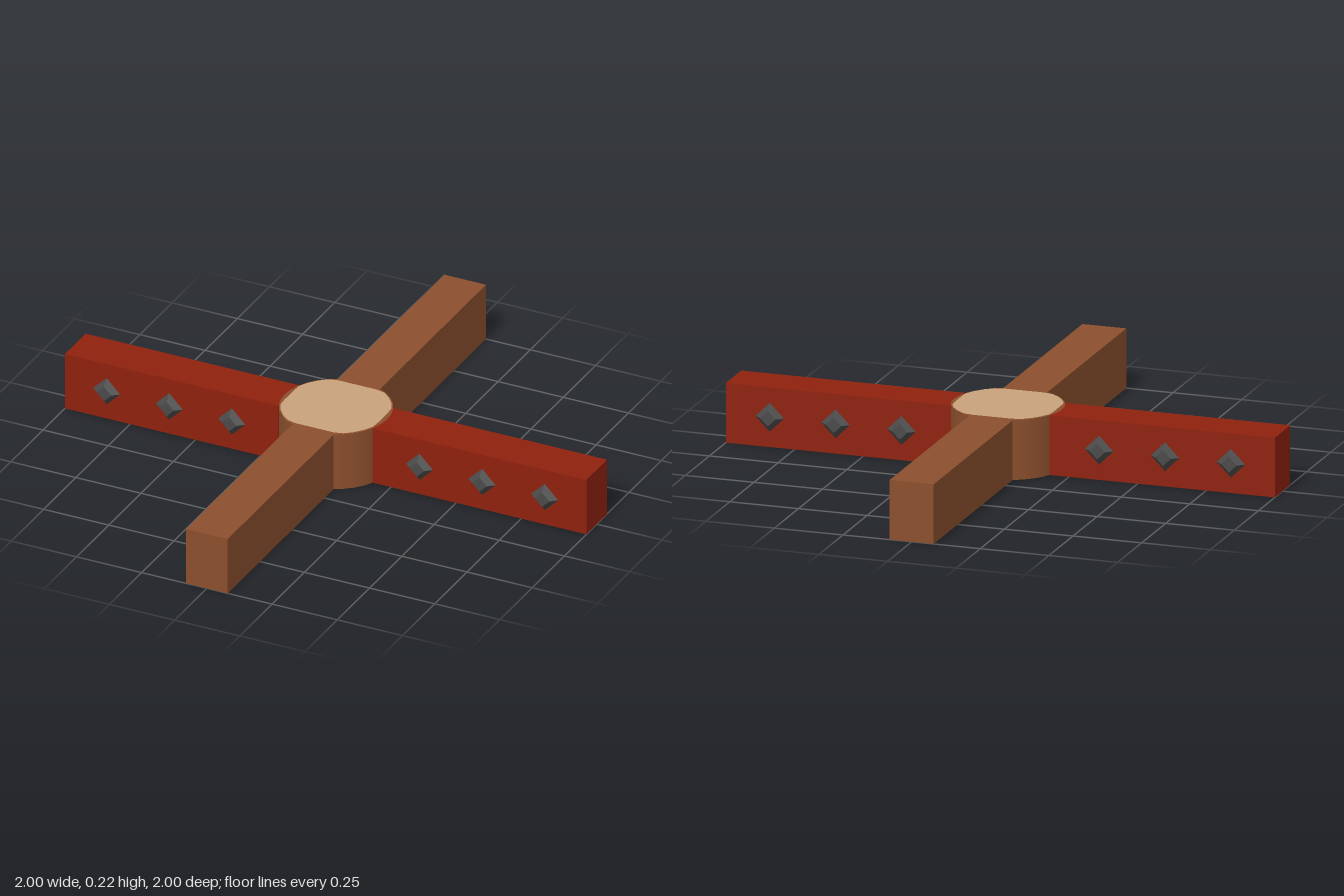
import * as THREE from 'three';

const H = 0.214;        // beam height
const W = 0.16;         // beam width
const INNER = 0.18;     // where each beam enters the hub
const HUB_R = 0.197;

export function createModel() {
  const mat = (name, color, extra = {}) => {
    const m = new THREE.MeshStandardMaterial({ color, ...extra });
    m.name = name;
    return m;
  };
  const wood = mat('brown wood', 0x8b4f2d, { side: THREE.DoubleSide });
  const red = mat('red paint', 0x8f210e);
  const cream = mat('pale cut wood', 0xc9a27c);
  const metal = mat('dark metal', 0x4a4a4a, { flatShading: true });

  const root = new THREE.Group();
  root.name = 'crossBarrier';
  const add = (parent, name, geometry, material) => {
    const mesh = new THREE.Mesh(geometry, material);
    mesh.name = name;
    parent.add(mesh);
    return mesh;
  };

  // Hub: tube open at the bottom, closed by a thin rim disc and a pale top
  add(root, 'hubWall', new THREE.CylinderGeometry(HUB_R, HUB_R, H, 32, 1, true), wood).position.y = H / 2;
  const rim = add(root, 'hubRim', new THREE.CircleGeometry(HUB_R, 32), wood);
  rim.rotation.x = -Math.PI / 2;
  rim.position.y = H + 0.0005;

  // Pale top: a disc flattened slightly where the beams meet it
  const clamp = THREE.MathUtils.clamp;
  const outline = [];
  for (let i = 0; i < 32; i++) {
    const a = (i / 32) * Math.PI * 2;
    outline.push(new THREE.Vector2(
      clamp(Math.cos(a) * 0.192, -0.18, 0.18),
      clamp(Math.sin(a) * 0.192, -0.168, 0.168)));
  }
  const cap = add(root, 'hubTop', new THREE.ShapeGeometry(new THREE.Shape(outline)), cream);
  cap.rotation.x = -Math.PI / 2;
  cap.position.y = H + 0.002;

  // Four beams, alternating red and plain
  const length = 1 - INNER;
  const beamGeo = new THREE.BoxGeometry(length, H, W);
  // Stud: blunt four-sided pyramid pointing along +z, a corner up
  const studGeo = new THREE.CylinderGeometry(0.028, 0.053, 0.022, 4).rotateX(Math.PI / 2);

  const names = ['leftBeam', 'backBeam', 'rightBeam', 'frontBeam'];
  names.forEach((name, i) => {
    const arm = new THREE.Group();
    arm.name = name;
    arm.rotation.y = (i * Math.PI) / 2;
    root.add(arm);
    const painted = i % 2 === 0;
    add(arm, name + 'Bar', beamGeo, painted ? red : wood).position.set(INNER + length / 2, H / 2, 0);
    if (!painted) return;
    // Studs on both sides of the red beams
    for (const x of [0.36, 0.6, 0.84]) {
      for (const side of [1, -1]) {
        const stud = add(arm, 'stud', studGeo, metal);
        stud.position.set(x, H / 2, side * (W / 2 + 0.01));
        if (side < 0) stud.rotation.y = Math.PI;
      }
    }
  });
  return root;
}
